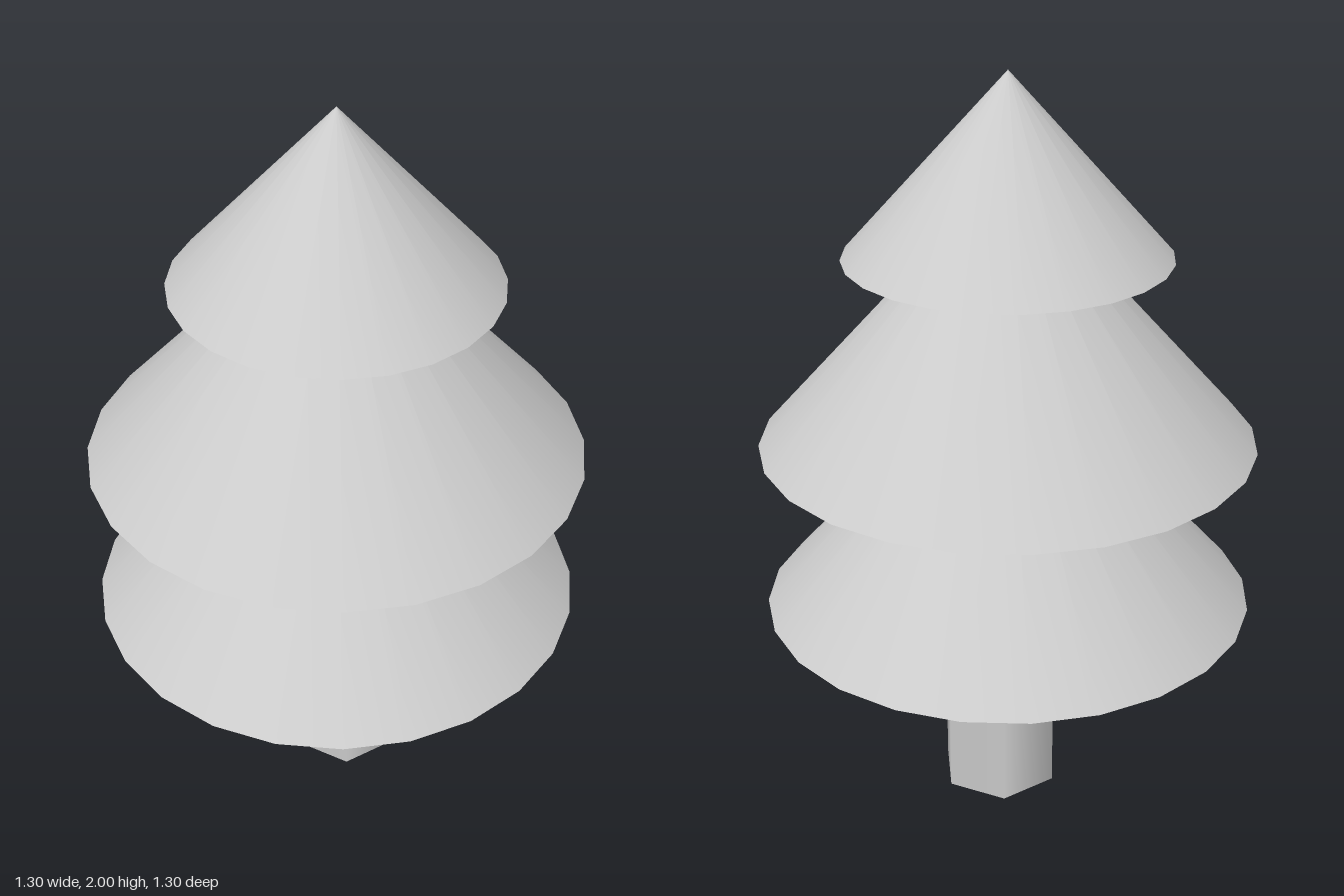
import * as THREE from 'three';

export function createModel() {
  const tree = new THREE.Group();
  tree.name = 'tree';
  const material = new THREE.MeshStandardMaterial({ color: 0xcccccc });

  const add = (name, geometry, x, y, z) => {
    const mesh = new THREE.Mesh(geometry, material);
    mesh.name = name;
    mesh.position.set(x, y, z);
    tree.add(mesh);
  };

  // Six-sided trunk, slightly off centre, with flat sides facing front and back
  const trunkHeight = 0.6;
  const trunk = new THREE.CylinderGeometry(0.165, 0.165, trunkHeight, 6).rotateY(Math.PI / 6);
  add('trunk', trunk, 0.022, trunkHeight / 2, -0.012);

  // Stacked foliage cones: base height, radius, cone height
  const tiers = [
    ['lowerFoliage', 0.577, 0.65, 0.725],
    ['middleFoliage', 1.037, 0.65, 0.725],
    ['topFoliage', 1.534, 0.42, 0.466],
  ];
  for (const [name, base, radius, height] of tiers) {
    add(name, new THREE.ConeGeometry(radius, height, 24), 0, base + height / 2, 0);
  }

  return tree;
}
